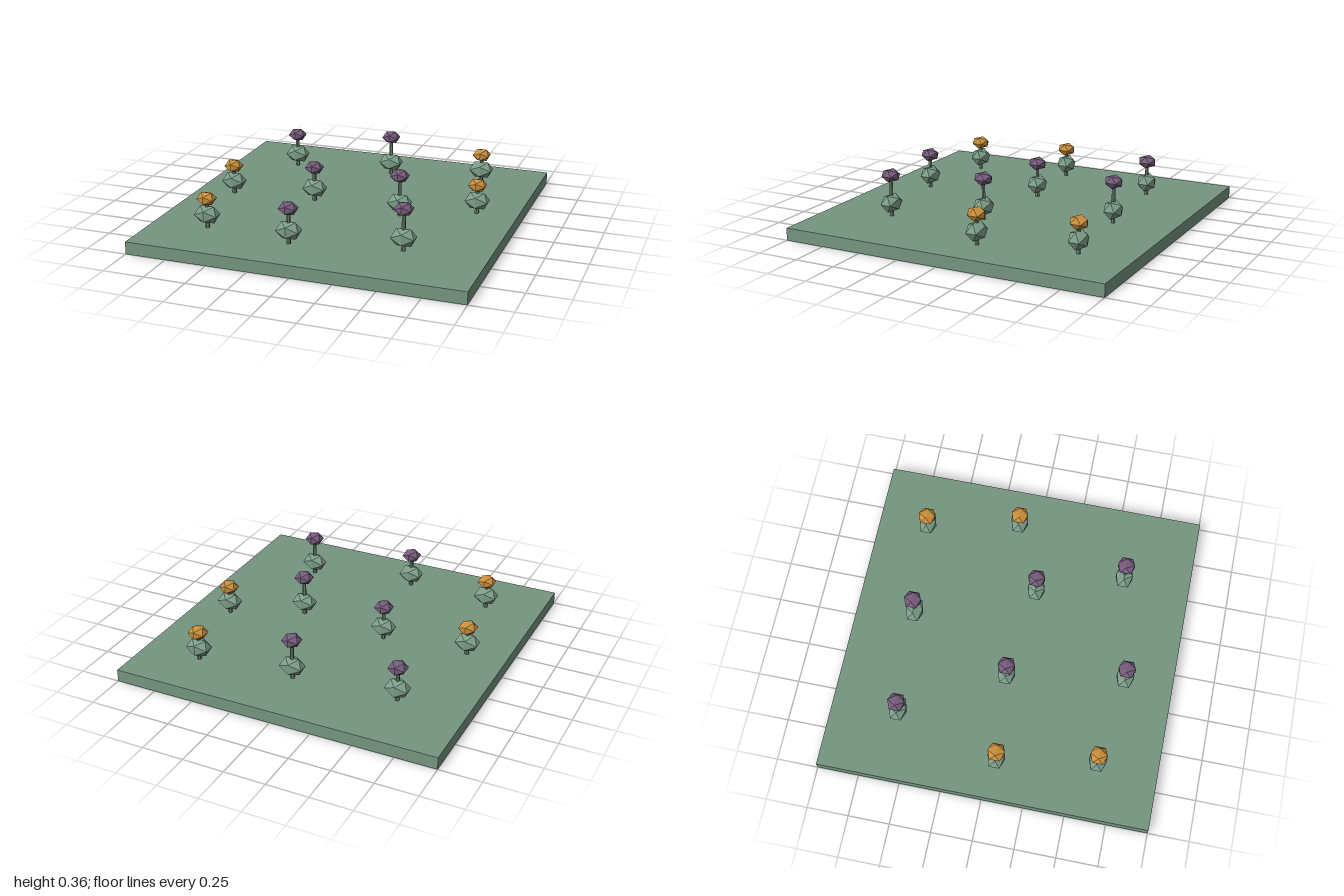
import * as THREE from 'three';

const mat = (name, color) => {
  const m = new THREE.MeshStandardMaterial({ color, flatShading: true });
  m.name = name;
  return m;
};

export function createModel() {
  const model = new THREE.Group();
  model.name = 'flowerField';

  const ground = mat('groundGreen', 0x769580);
  const leaf = mat('leafGreen', 0x7b9d88);
  const stemGreen = mat('stemGreen', 0x66846f);
  const purple = mat('purpleBloom', 0x755b7b);
  const orange = mat('orangeBloom', 0xc98f3c);

  const add = (parent, name, geometry, material, y) => {
    const mesh = new THREE.Mesh(geometry, material);
    mesh.name = name;
    mesh.position.y = y;
    parent.add(mesh);
    return mesh;
  };

  // Ground slab
  const top = 0.075;
  add(model, 'groundSlab', new THREE.BoxGeometry(2, top, 2), ground, top / 2);

  // Shared low-poly blobs
  const foliageGeo = new THREE.IcosahedronGeometry(0.06, 0).scale(1.36, 1, 1.02);
  const bloomGeo = new THREE.IcosahedronGeometry(0.06, 0).scale(1, 0.7, 1);

  // Flowers: x, z, bloom height, bloom colour
  const flowers = [
    [-0.76, 0.045, 0.253, orange],
    [-0.66, 0.635, 0.253, orange],
    [0.635, -0.685, 0.253, orange],
    [0.755, -0.12, 0.253, orange],
    [-0.59, -0.59, 0.287, purple],
    [-0.24, 0, 0.287, purple],
    [-0.12, 0.705, 0.287, purple],
    [0.045, -0.635, 0.324, purple],
    [0.33, 0.07, 0.324, purple],
    [0.52, 0.588, 0.324, purple],
  ];
  for (const [x, z, height, colour] of flowers) {
    const flower = new THREE.Group();
    flower.name = 'flower';
    flower.position.set(x, 0, z);
    const length = height - top;
    add(flower, 'stem', new THREE.CylinderGeometry(0.011, 0.013, length, 6), stemGreen, top + length / 2);
    add(flower, 'foliage', foliageGeo, leaf, 0.155);
    add(flower, 'bloom', bloomGeo, colour, height);
    model.add(flower);
  }
  return model;
}
